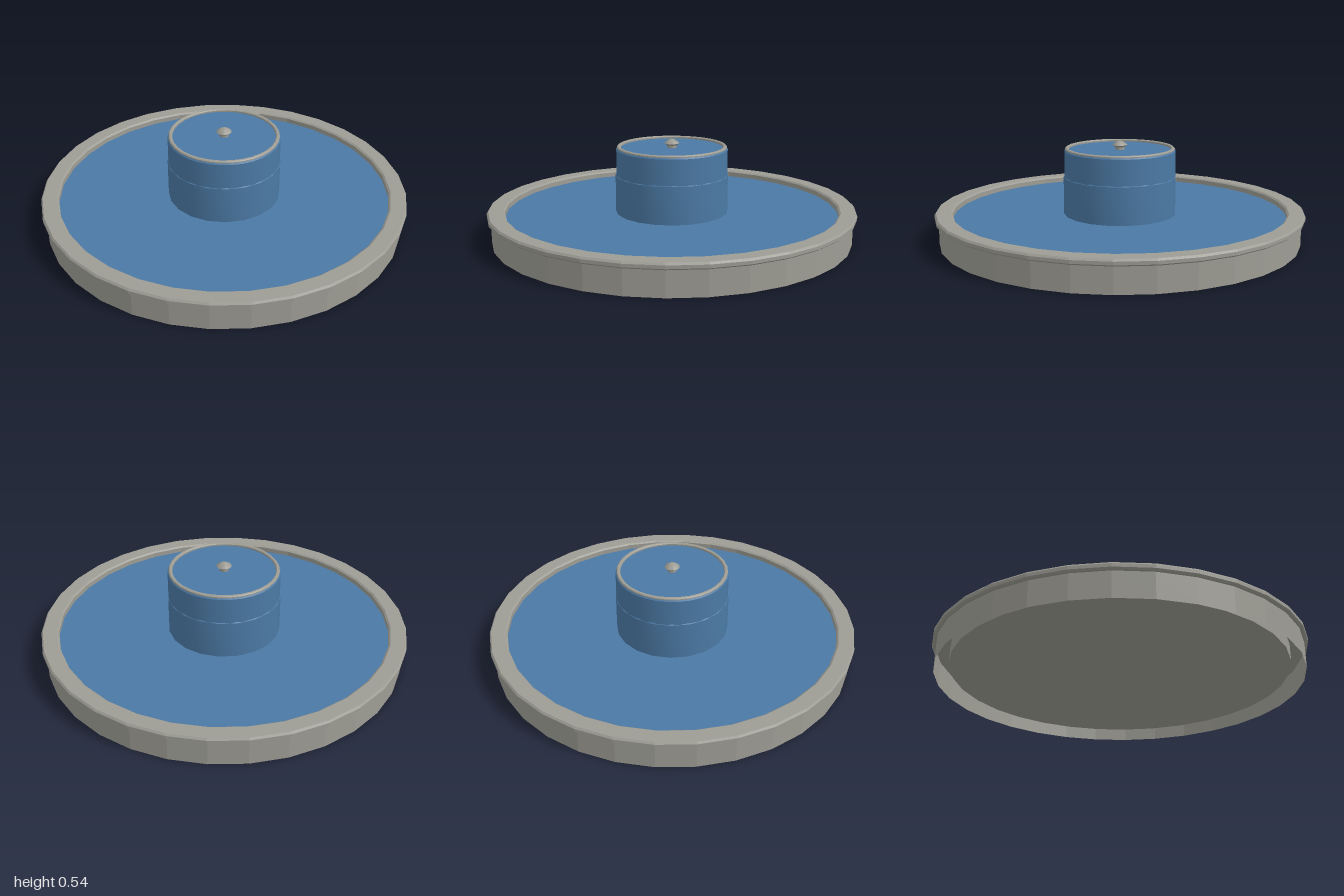
import * as THREE from 'three';
import { toCreasedNormals } from 'three/addons/utils/BufferGeometryUtils.js';

export function createModel() {
  const model = new THREE.Group();
  model.name = 'fountain';
  const mat = (name, color, side = THREE.FrontSide) => {
    const m = new THREE.MeshStandardMaterial({ color, side });
    m.name = name;
    return m;
  };
  const stone = mat('stone', 0x9d9c94, THREE.DoubleSide);
  const blue = mat('waterBlue', 0x4b79a4);

  // Turned part: profile of [radius to the flat of a side, height]; a flat faces each axis.
  const turn = (name, material, sides, profile, crease) => {
    const k = 1 / Math.cos(Math.PI / sides);
    const points = profile.map(([r, y]) => new THREE.Vector2(r * k, y));
    const geo = new THREE.LatheGeometry(points, sides, Math.PI / sides);
    const mesh = new THREE.Mesh(toCreasedNormals(geo, crease), material);
    mesh.name = name;
    model.add(mesh);
  };
  const faceted = 0.1, smooth = 0.5;

  // Basin: open outer wall, bevelled rim and a recessed tray
  turn('basinWall', stone, 32, [[0.98, 0], [0.98, 0.14]], faceted);
  turn('basinRim', stone, 32, [
    [0.905, 0.135], [0.99, 0.135], [1, 0.143], [1, 0.16], [0.992, 0.17],
    [0.915, 0.17], [0.905, 0.162], [0.905, 0.135],
  ], faceted);
  turn('basinTray', stone, 32, [[0, 0.045], [0.905, 0.045], [0.905, 0.135]], faceted);
  turn('water', blue, 32, [[0.906, 0.135], [0, 0.135]], faceted);

  // Central pedestal with a slightly wider lower sleeve
  turn('pedestalSleeve', blue, 20, [[0.305, 0.135], [0.305, 0.34], [0.3, 0.345]], smooth);
  turn('pedestal', blue, 32, [[0.303, 0.135], [0.303, 0.483], [0.296, 0.492], [0.29, 0.492]], smooth);
  turn('pedestalTop', blue, 32, [[0.285, 0.487], [0, 0.487]], smooth);
  turn('pedestalRing', stone, 32, [
    [0.298, 0.486], [0.298, 0.495], [0.293, 0.5], [0.283, 0.5], [0.278, 0.495], [0.278, 0.486],
  ], smooth);

  // Nozzle: short stem under a pointed cap
  turn('nozzleStem', stone, 16, [[0.024, 0.485], [0.024, 0.505]], smooth);
  turn('nozzleCap', stone, 16, [
    [0, 0.502], [0.028, 0.502], [0.04, 0.512], [0.036, 0.518], [0.012, 0.533], [0, 0.536],
  ], smooth);

  return model;
}
